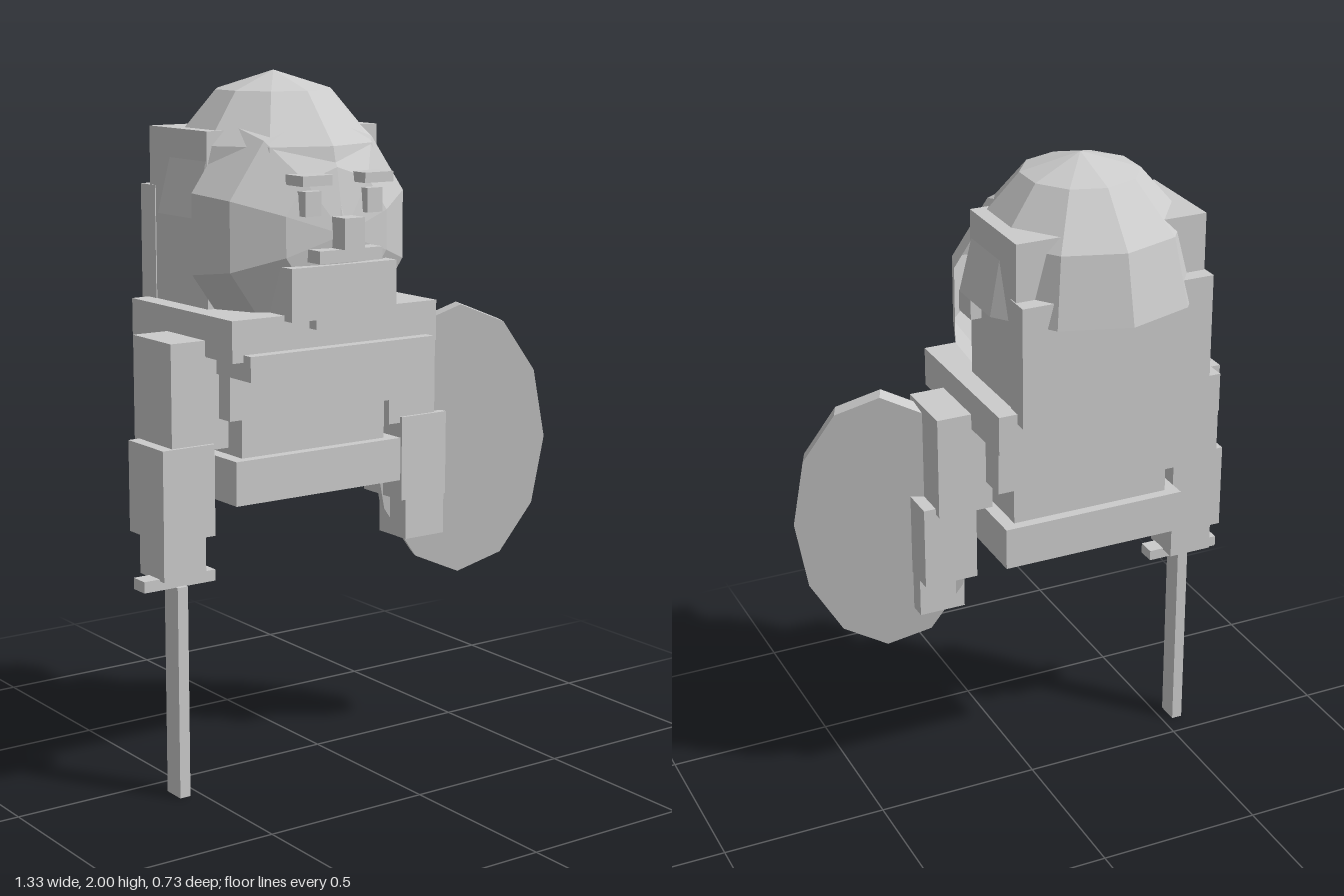
import * as THREE from 'three';

export function createModel() {
  const model = new THREE.Group();
  model.name = 'helmetedFighter';
  const stone = new THREE.MeshStandardMaterial({ color: 0xcccccc, flatShading: true, side: THREE.DoubleSide });
  stone.name = 'plainGrey';
  const CX = -0.13; // body centre line

  const add = (name, geometry) => {
    const mesh = new THREE.Mesh(geometry, stone);
    mesh.name = name;
    model.add(mesh);
    return mesh;
  };
  // Box given by its limits on each axis
  const box = (name, x0, x1, y0, y1, z0, z1) => {
    const mesh = add(name, new THREE.BoxGeometry(x1 - x0, y1 - y0, z1 - z0));
    mesh.position.set((x0 + x1) / 2, (y0 + y1) / 2, (z0 + z1) / 2);
    return mesh;
  };
  // Box centred on the body line
  const centred = (name, halfWidth, y0, y1, z0, z1) =>
    box(name, CX - halfWidth, CX + halfWidth, y0, y1, z0, z1);
  // Ten-sided half sphere, pole up
  const dome = () => new THREE.SphereGeometry(1, 10, 3, Math.PI / 2, Math.PI * 2, 0, Math.PI / 2);

  // Torso
  centred('shoulders', 0.343, 1.245, 1.36, -0.242, 0.28);
  centred('collar', 0.307, 1.195, 1.265, 0, 0.314);
  centred('chest', 0.3, 1.07, 1.246, -0.14, 0.2);
  centred('waist', 0.243, 0.95, 1.075, -0.12, 0.17);
  centred('hips', 0.281, 0.83, 0.955, -0.15, 0.2);

  // Head and helmet
  centred('head', 0.285, 1.34, 1.845, -0.23, 0.07);
  centred('neckGuard', 0.288, 1.33, 1.68, -0.277, -0.2);
  add('helmet', dome().scale(0.335, 0.39, 0.335)).position.set(CX, 1.61, -0.03);
  add('face', dome().rotateX(Math.PI / 2).scale(0.352, 0.36, 0.24)).position.set(CX, 1.57, 0.07);

  // Face details
  for (const side of [-1, 1]) {
    const x = CX + side * 0.102;
    box('eye', x - 0.026, x + 0.026, 1.625, 1.692, 0.25, 0.312);
    box('eyebrow', x - 0.048, x + 0.048, 1.708, 1.736, 0.25, 0.332);
    const ear = CX + side * 0.295;
    box('ear', ear - 0.022, ear + 0.022, 1.55, 1.61, 0, 0.08);
  }
  centred('nose', 0.033, 1.535, 1.62, 0.27, 0.36);
  centred('moustache', 0.104, 1.5, 1.535, 0.25, 0.345);
  centred('beard', 0.175, 1.345, 1.49, 0.17, 0.315);
  centred('beardTip', 0.093, 1.318, 1.35, 0.17, 0.313);

  // Arms
  box('rightUpperArm', -0.582, -0.4, 0.985, 1.29, -0.053, 0.145);
  box('rightForearm', -0.617, -0.452, 0.745, 1.003, -0.028, 0.155);
  box('rightHand', -0.615, -0.48, 0.635, 0.76, 0.022, 0.15);
  box('leftUpperArm', 0.15, 0.316, 0.985, 1.29, -0.053, 0.145);
  box('leftForearm', 0.19, 0.352, 0.755, 1.003, -0.028, 0.155);
  box('leftHand', 0.21, 0.35, 0.635, 0.765, 0.022, 0.15);

  // Sword held point down
  box('swordGuard', -0.664, -0.435, 0.608, 0.64, 0.07, 0.126);
  box('swordBlade', -0.566, -0.533, 0, 0.61, 0.07, 0.139);

  // Oval shield, turned outward
  const shield = add('shield', new THREE.CylinderGeometry(1, 1, 0.058, 12).rotateX(Math.PI / 2).scale(0.26, 0.403, 1));
  shield.position.set(0.412, 0.913, 0.132);
  shield.rotation.y = -0.42;

  return model;
}
